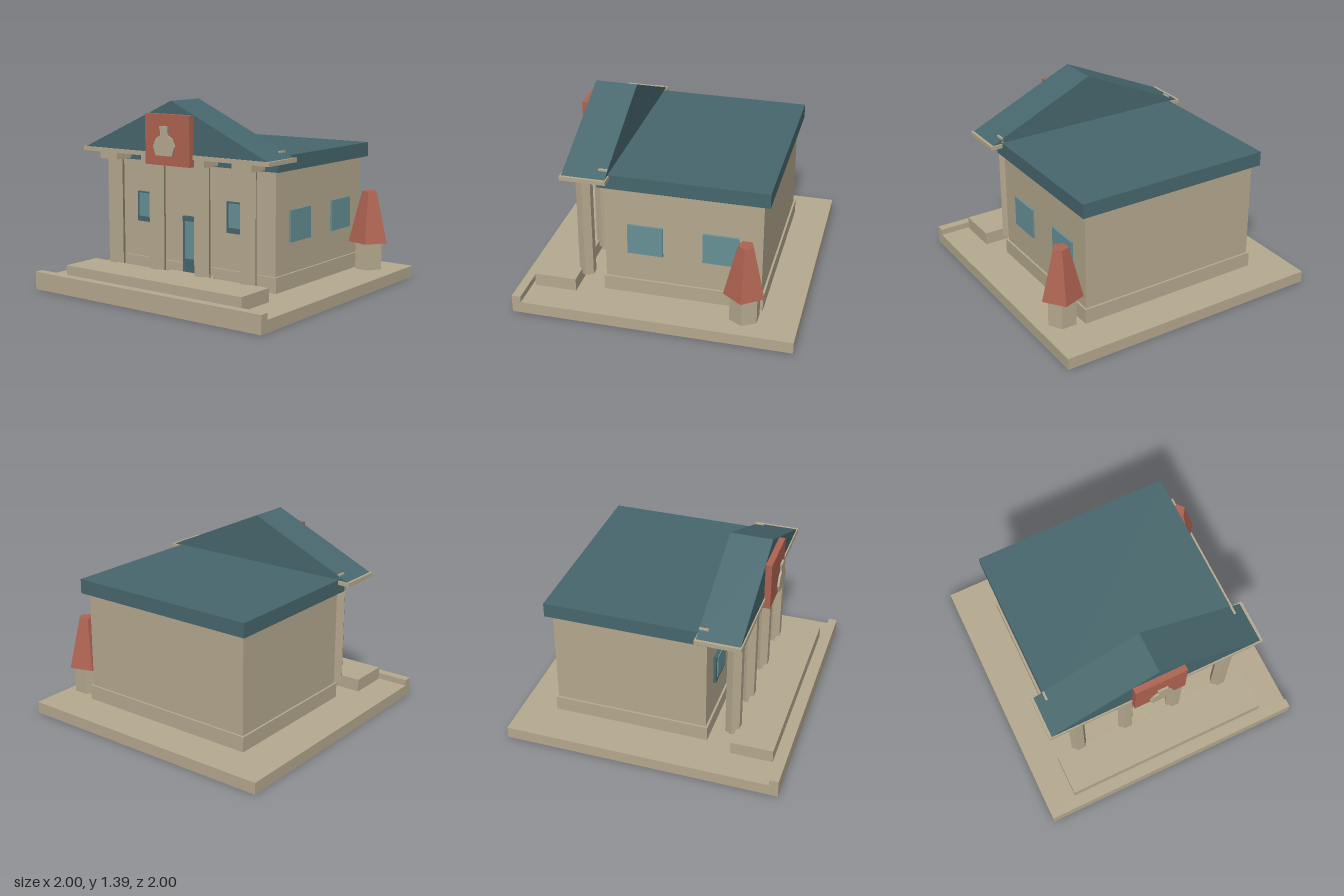
import * as THREE from 'three';

const material = (name, color) => {
  const m = new THREE.MeshStandardMaterial({ color });
  m.name = name;
  return m;
};

export function createModel() {
  const model = new THREE.Group();
  model.name = 'columnedBuilding';
  const stone = material('stone', 0xb5a98f);
  const slate = material('slate', 0x47676d);
  const glass = material('glass', 0x679197);
  const brick = material('brick', 0xae6351);

  const add = (name, geometry, mat) => {
    const mesh = new THREE.Mesh(geometry, mat);
    mesh.name = name;
    model.add(mesh);
    return mesh;
  };
  // Box given by its extents on each axis
  const box = (name, mat, [x0, x1], [y0, y1], [z0, z1]) => {
    const mesh = add(name, new THREE.BoxGeometry(x1 - x0, y1 - y0, z1 - z0), mat);
    mesh.position.set((x0 + x1) / 2, (y0 + y1) / 2, (z0 + z1) / 2);
    return mesh;
  };
  // Faceted upright prism with a corner pointing to +x
  const prism = (name, mat, sides, rTop, rBottom, x, y0, y1, z) => {
    const g = new THREE.CylinderGeometry(rTop, rBottom, y1 - y0, sides, 1, false, Math.PI / 2).toNonIndexed();
    g.computeVertexNormals();
    const mesh = add(name, g, mat);
    mesh.position.set(x, (y0 + y1) / 2, z);
    return mesh;
  };
  // Outline in x and y, extruded from z0 to z1
  const plate = (name, mat, points, z0, z1) => {
    const shape = new THREE.Shape(points.map(([x, y]) => new THREE.Vector2(x, y)));
    const g = new THREE.ExtrudeGeometry(shape, { depth: z1 - z0, bevelEnabled: false });
    add(name, g, mat).position.z = z0;
  };

  // Ground, kerb and steps
  box('ground', stone, [-1, 1], [0, 0.085], [-1, 1]);
  box('kerb', stone, [-1, 1], [0.085, 0.13], [0.935, 1]);
  box('frontStep', stone, [-0.78, 0.78], [0.095, 0.19], [0.6, 0.905]);
  box('doorStep', stone, [-0.2, 0.2], [0.09, 0.15], [0.42, 0.59]);

  // Main block
  box('plinth', stone, [-0.705, 0.705], [0.1, 0.21], [-0.735, 0.41]);
  box('walls', stone, [-0.69, 0.69], [0.15, 0.94], [-0.72, 0.395]);
  box('mainRoof', slate, [-0.73, 0.73], [0.93, 1.035], [-0.765, 0.43]);

  // Porch
  for (const x of [-0.59, -0.2, 0.2, 0.59]) {
    prism('column', stone, 6, 0.06, 0.06, x, 0.15, 0.95, 0.57);
    box('capital', stone, [x - 0.08, x + 0.08], [0.95, 1.0], [0.495, 0.65]);
  }
  box('porchBeam', stone, [-0.82, 0.82], [1.0, 1.03], [0.34, 0.665]);
  plate('pediment', slate, [[-0.8, 1.03], [0.8, 1.03], [0, 1.39]], 0.35, 0.655);
  for (const s of [-1, 1]) {
    box('roofCleat', stone, [s * 0.725 - 0.008, s * 0.725 + 0.008], [1.03, 1.072], [0.35, 0.415]);
  }

  // Sign panel with a sack-shaped emblem
  box('signPanel', brick, [-0.195, 0.195], [0.95, 1.3], [0.65, 0.7]);
  plate('emblem', stone, [
    [-0.073, 1.02], [0.07, 1.02], [0.092, 1.085], [0.066, 1.14], [0.03, 1.16],
    [0.028, 1.18], [0.038, 1.222], [-0.042, 1.222], [-0.03, 1.18], [-0.03, 1.16],
    [-0.068, 1.14], [-0.095, 1.08],
  ], 0.72, 0.735);

  // Door and front windows
  box('doorFrame', slate, [-0.095, 0.095], [0.12, 0.555], [0.39, 0.42]);
  box('doorGlass', glass, [-0.07, 0.066], [0.25, 0.52], [0.42, 0.428]);
  for (const s of [-1, 1]) {
    const x = s * 0.407;
    box('windowFrame', slate, [x - 0.116, x + 0.116], [0.475, 0.695], [0.39, 0.415]);
    box('windowGlass', glass, [x - 0.093, x + 0.093], [0.515, 0.685], [0.415, 0.424]);
  }

  // Windows in the left wall
  for (const z of [0.105, -0.43]) {
    box('sideWindow', glass, [0.685, 0.705], [0.425, 0.65], [z - 0.127, z + 0.127]);
  }

  // Faceted tree by the back corner
  prism('treeTrunk', stone, 6, 0.11, 0.11, 0.825, 0.115, 0.315, -0.63);
  prism('treeCrown', brick, 5, 0.057, 0.15, 0.828, 0.315, 0.69, -0.63);

  return model;
}
